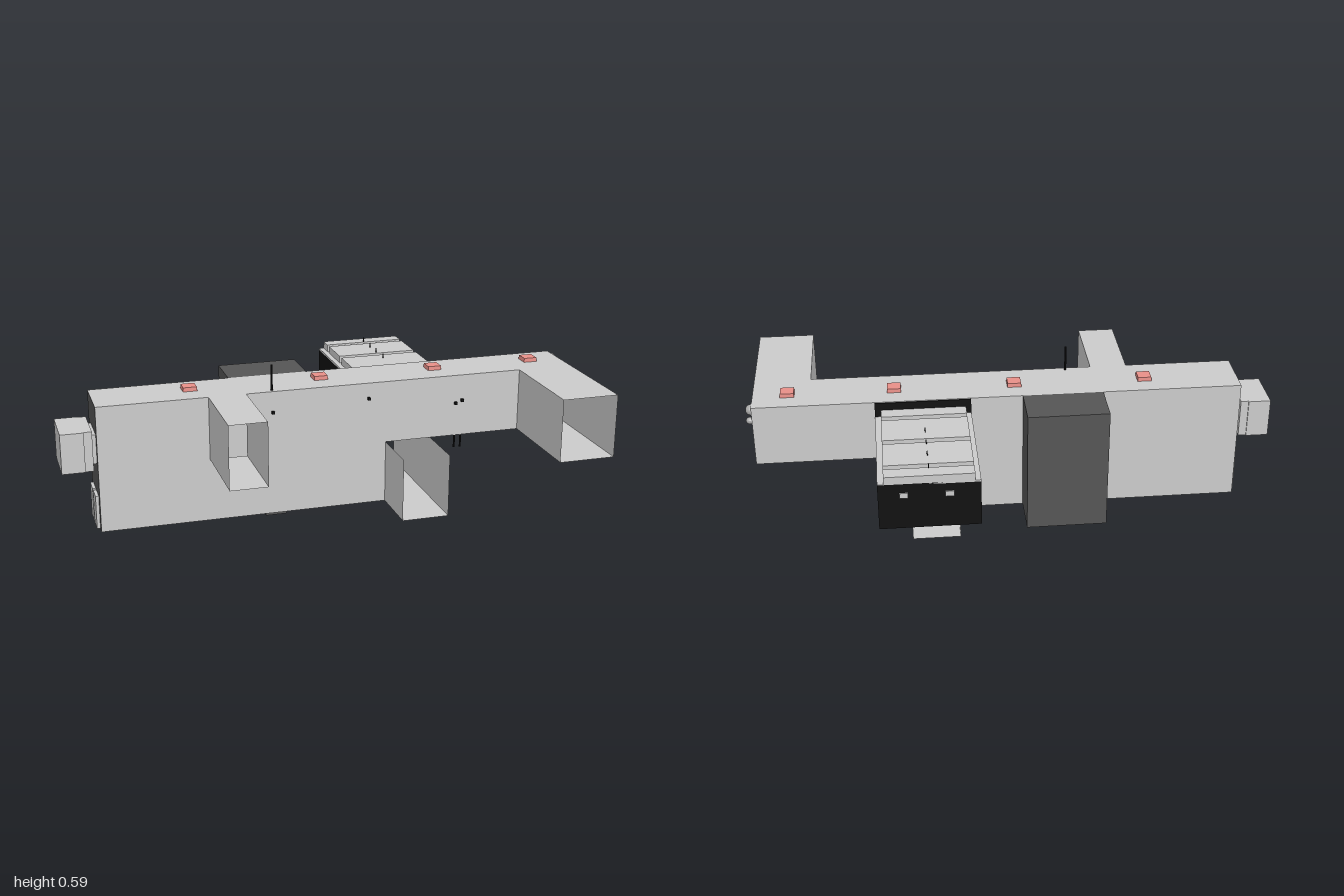
import * as THREE from 'three';
import { mergeGeometries } from 'three/addons/utils/BufferGeometryUtils.js';

const mat = (color) => new THREE.MeshStandardMaterial({ color, side: THREE.DoubleSide, flatShading: true });
const grey = mat(0xcccccc), dark = mat(0x555555), black = mat(0x111111);
const green = mat(0x2f6a08), red = mat(0xe88f88);

export function createModel() {
  const model = new THREE.Group();

  const add = (name, geometry, material = grey) => {
    const mesh = new THREE.Mesh(geometry, material);
    mesh.name = name;
    model.add(mesh);
    return mesh;
  };

  // Solid box from its limits
  const box = (name, [x0, x1], [y0, y1], [z0, z1], material) =>
    add(name, new THREE.BoxGeometry(x1 - x0, y1 - y0, z1 - z0)
      .translate((x0 + x1) / 2, (y0 + y1) / 2, (z0 + z1) / 2), material);

  // Open shell from its limits, with only the listed walls
  const shell = (name, [x0, x1], [y0, y1], [z0, z1], walls, material) => {
    const w = x1 - x0, h = y1 - y0, d = z1 - z0, q = Math.PI / 2;
    const make = {
      front: () => new THREE.PlaneGeometry(w, h).translate(0, 0, d / 2),
      back: () => new THREE.PlaneGeometry(w, h).rotateY(2 * q).translate(0, 0, -d / 2),
      left: () => new THREE.PlaneGeometry(d, h).rotateY(q).translate(w / 2, 0, 0),
      right: () => new THREE.PlaneGeometry(d, h).rotateY(-q).translate(-w / 2, 0, 0),
      top: () => new THREE.PlaneGeometry(w, d).rotateX(-q).translate(0, h / 2, 0),
      bottom: () => new THREE.PlaneGeometry(w, d).rotateX(q).translate(0, -h / 2, 0),
    };
    const geometry = mergeGeometries(walls.map((k) => make[k]()));
    return add(name, geometry.translate((x0 + x1) / 2, (y0 + y1) / 2, (z0 + z1) / 2), material);
  };

  // Main corridor: deep section and shallow section, with notches where arms open into it
  const Z = [-0.055, 0.155], upper = [0.25, 0.49];
  shell('deepCorridor', [-0.87, 0.22], [0.01, 0.49], Z, ['back', 'top', 'bottom']);
  shell('shallowCorridor', [0.22, 0.975], upper, Z, ['back', 'top', 'bottom', 'left']);
  const outline = [[-0.87, 0.01], [0.22, 0.01], [0.22, 0.25], [0.76, 0.25], [0.76, 0.49],
    [-0.32, 0.49], [-0.32, 0.25], [-0.46, 0.25], [-0.46, 0.49], [-0.87, 0.49]];
  const front = new THREE.Shape(outline.map(([x, y]) => new THREE.Vector2(x, y)));
  add('corridorFrontWall', new THREE.ShapeGeometry(front).translate(0, 0, Z[1]));
  shell('corridorEndWall', [-0.87, 0.22], [0.01, 0.49], Z, ['right'], dark);

  // Side arms, open at the front
  shell('narrowArm', [-0.46, -0.32], upper, [0.155, 0.48], ['left', 'right', 'top', 'bottom']);
  shell('wideArm', [0.76, 0.975], upper, [0.155, 0.545], ['left', 'right', 'top', 'bottom']);

  // Low passage crossing under the shallow section
  shell('crossPassage', [0.22, 0.4], [0.01, 0.25], [-0.26, 0.365], ['left', 'right', 'bottom']);

  // Dark shaft at the back
  shell('backShaft', [-0.34, -0.035], [0.01, 0.49], [-0.225, -0.055], ['left', 'right', 'top', 'back'], dark);

  // Rear hall: black walls, green base, panelled roof
  const hx = [0.16, 0.52];
  shell('hallWalls', hx, [0.25, 0.43], [-0.54, -0.055], ['left', 'right', 'back'], black);
  box('hallBackingWall', hx, [0.25, 0.488], [-0.06, -0.056], black);
  box('hallBase', [0.162, 0.518], [0.251, 0.256], [-0.538, -0.062], green);
  box('hallRoof', hx, [0.425, 0.432], [-0.54, -0.06]);
  for (const z of [[-0.115, -0.062], [-0.288, -0.14], [-0.462, -0.313], [-0.54, -0.486]]) {
    box('roofPanel', [0.18, 0.498], [0.43, 0.46], z);
  }
  for (const z of [-0.24, -0.325, -0.405, -0.49]) {
    add('roofPin', new THREE.CylinderGeometry(0.002, 0.002, 0.02, 6).translate(0.34, 0.468, z), black);
  }
  for (const x of [0.27, 0.43]) {
    box('hallVent', [x - 0.015, x + 0.015], [0.375, 0.395], [-0.545, -0.54]);
  }

  // Pipes running along the corridor, with rounded ends
  for (const [y, z, r] of [[0.468, -0.025, 0.021], [0.428, -0.035, 0.013]]) {
    const length = 1.86 - 2 * r;
    add('corridorPipe', new THREE.CapsuleGeometry(r, length, 6, 16)
      .rotateZ(Math.PI / 2).translate(0.068, y, z), mat(0xaaaaaa));
  }

  // Warning lights set through the roof
  for (const x of [-0.51, -0.01, 0.445, 0.845]) {
    const lamp = new THREE.CylinderGeometry(0.036, 0.041, 0.045, 4).rotateY(Math.PI / 4);
    add('roofLight', lamp.translate(x, 0.483, 0.042), red);
  }

  // Stepped box on the end wall, and the hatch under it
  box('endBox', [-1, -0.915], [0.25, 0.4], [-0.025, 0.16]);
  box('endBoxNeck', [-0.915, -0.885], [0.25, 0.4], [-0.02, 0.155]);
  box('endBoxFlange', [-0.885, -0.87], [0.27, 0.38], [0.0, 0.135]);
  for (const z of [[-0.02, 0.045], [0.06, 0.125]]) {
    box('endHatch', [-0.882, -0.87], [0.012, 0.14], z);
  }

  // Rods: mast on the roof and hangers under the shallow section
  add('roofMast', new THREE.CylinderGeometry(0.004, 0.004, 0.1, 8).translate(-0.22, 0.538, 0.14), black);
  for (const x of [0.5, 0.525]) {
    add('hangingRod', new THREE.CylinderGeometry(0.004, 0.004, 0.05, 8).translate(x, 0.225, 0.152), black);
  }
  box('groundPlate', [-0.25, -0.17], [0, 0.01], [0.1, 0.15], dark);

  // Small fittings on the front wall
  for (const [x, y] of [[-0.22, 0.41], [0.15, 0.43], [0.5, 0.38], [0.525, 0.39], [-0.425, 0.24], [-0.36, 0.235]]) {
    box('wallFitting', [x - 0.005, x + 0.005], [y - 0.005, y + 0.005], [0.155, 0.166], black);
  }
  return model;
}
